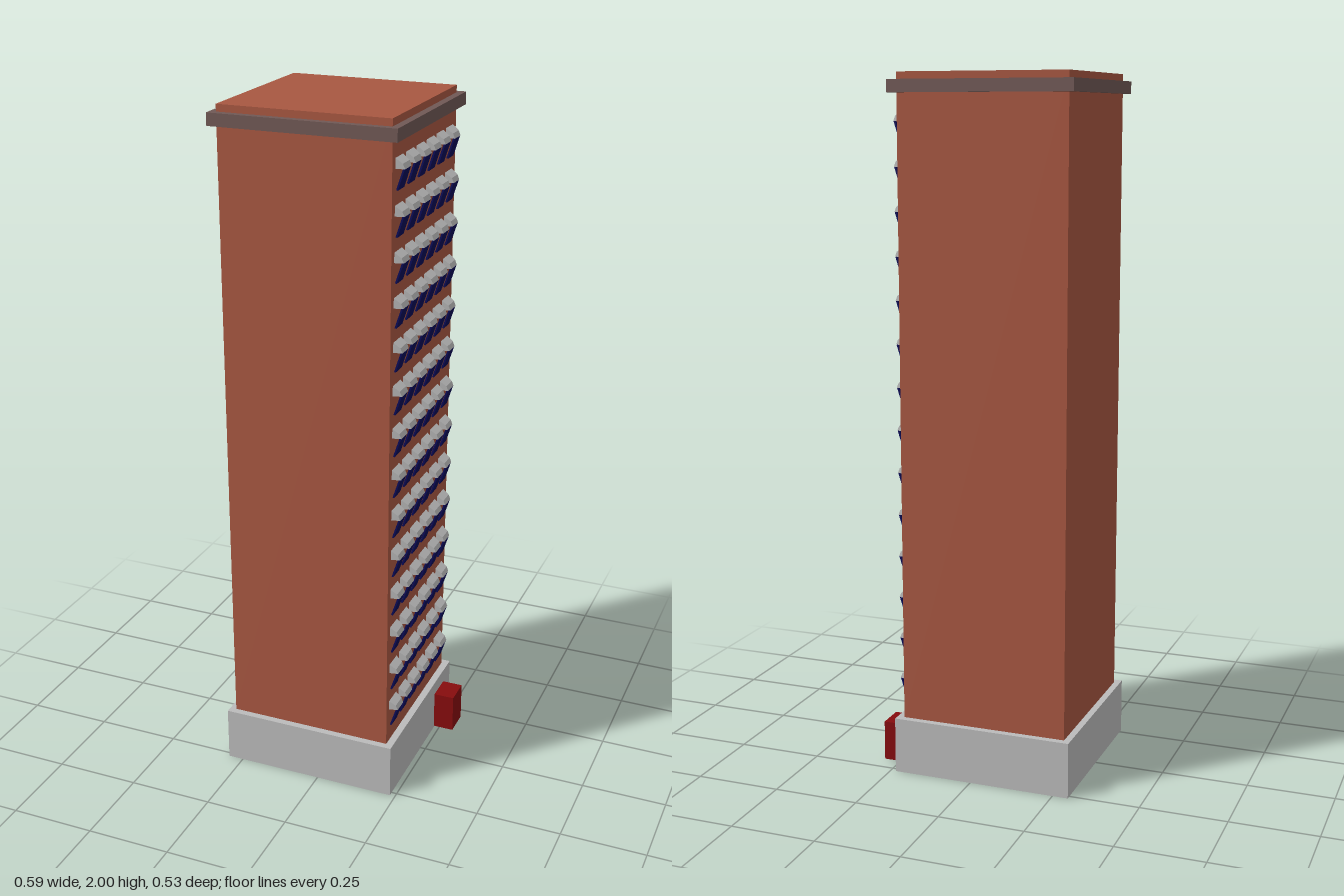
import * as THREE from 'three';

const mat = (name, color, side = THREE.FrontSide) => {
  const m = new THREE.MeshStandardMaterial({ color, side });
  m.name = name;
  return m;
};

// Box given by its minimum and maximum corners
function block(name, material, [x0, y0, z0], [x1, y1, z1]) {
  const mesh = new THREE.Mesh(new THREE.BoxGeometry(x1 - x0, y1 - y0, z1 - z0), material);
  mesh.position.set((x0 + x1) / 2, (y0 + y1) / 2, (z0 + z1) / 2);
  mesh.name = name;
  return mesh;
}

// Hood: side profile (outward, height) extruded along z, narrowing away from the wall
function hoodGeometry(width, depth) {
  const profile = new THREE.Shape([[0, 0], [depth, 0], [0.019, 0.014], [0, 0.028]]
    .map(([x, y]) => new THREE.Vector2(x, y)));
  const geo = new THREE.ExtrudeGeometry(profile, { depth: width, bevelEnabled: false });
  geo.translate(0, 0, -width / 2);
  const p = geo.attributes.position;
  for (let i = 0; i < p.count; i++) p.setZ(i, p.getZ(i) * (1 - 0.18 * p.getX(i) / depth));
  geo.computeVertexNormals();
  return geo;
}

export function createModel() {
  const brick = mat('brick', 0xa85741);
  const trim = mat('trim', 0x705855);
  const concrete = mat('concrete', 0xbbbbbb);
  const red = mat('entrance red', 0x860c0e);
  const glass = mat('window blue', 0x0a0a58);

  const model = new THREE.Group();
  model.name = 'towerBlock';
  const wall = 0.213;

  // Tower, plinth, cornice and entrance
  model.add(
    block('tower', brick, [-0.277, 0.16, -0.245], [wall, 2, 0.245]),
    block('plinth', concrete, [-0.296, 0, -0.265], [0.234, 0.163, 0.265]),
    block('cornice', trim, [-0.296, 1.945, -0.265], [0.234, 1.98, 0.265]),
    block('entrance', red, [0.23, 0.005, -0.205], [0.296, 0.122, -0.123]),
  );

  // Windows: a tilted pane hanging below a hood
  const hoodGeo = hoodGeometry(0.056, 0.025);
  const drop = 0.056, lean = 0.018;
  const paneGeo = new THREE.BoxGeometry(0.005, Math.hypot(drop, lean), 0.046);
  paneGeo.rotateZ(-Math.atan2(lean, drop));
  paneGeo.translate(0.0125, -drop / 2, 0);

  for (let floor = 0; floor < 14; floor++) {
    const row = new THREE.Group();
    row.name = 'windowRow';
    row.position.set(wall, 0.27 + floor * 0.123, 0);
    for (let i = 0; i < 6; i++) {
      const hood = new THREE.Mesh(hoodGeo, concrete);
      const pane = new THREE.Mesh(paneGeo, glass);
      hood.name = 'windowHood';
      pane.name = 'windowPane';
      hood.position.z = pane.position.z = 0.196 - i * 0.0773;
      row.add(hood, pane);
    }
    model.add(row);
  }
  return model;
}
